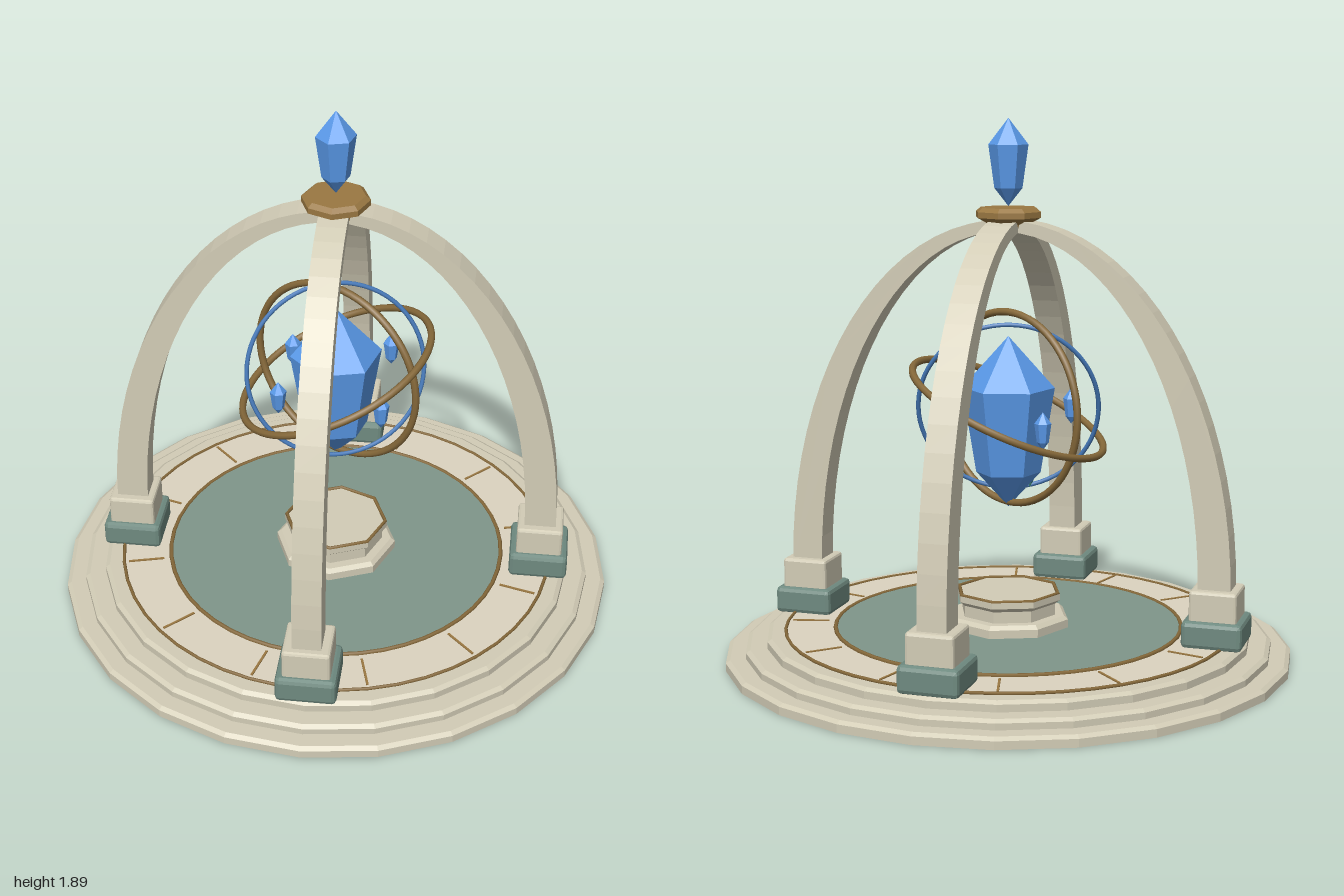
import * as THREE from 'three';
import { RoundedBoxGeometry } from 'three/addons/geometries/RoundedBoxGeometry.js';

const mat = (color, flatShading = true) => new THREE.MeshStandardMaterial({ color, flatShading });
const stone = mat(0xd2ccb6);
const paving = mat(0xdcd3c0);
const green = mat(0x6f8a80);
const floorGreen = mat(0x7f968a);
const bronze = mat(0x9a7842);
const bronzeRing = mat(0x86693a, false);
const blue = mat(0x5a9aea);
const blueRing = mat(0x4478b8, false);
const shardGreen = mat(0x3f8f78);

function add(parent, name, geometry, material, x = 0, y = 0, z = 0) {
  const mesh = new THREE.Mesh(geometry, material);
  mesh.name = name;
  mesh.position.set(x, y, z);
  parent.add(mesh);
  return mesh;
}

const lathe = (points, sides) =>
  new THREE.LatheGeometry(points.map(([r, y]) => new THREE.Vector2(r, y)), sides);

// Six-sided crystal standing on its lower tip, corners on the x axis
const crystal = (height, r, sides = 6) =>
  lathe([[0, 0], [r * 0.7, height * 0.205], [r, height * 0.7], [0, height]], sides).rotateY(Math.PI / 6);

// Ring lying flat on the ground
function flatRing(parent, name, r, tube, y, sides) {
  const ring = add(parent, name, new THREE.TorusGeometry(r, tube, 6, sides), bronzeRing, 0, y, 0);
  ring.rotation.x = -Math.PI / 2;
  ring.rotation.z = Math.PI / 2;
  return ring;
}

// Floating ring whose axis points along the given normal
function orbitRing(parent, name, r, tube, normal, material) {
  const ring = add(parent, name, new THREE.TorusGeometry(r, tube, 8, 64), material, 0, 0.888, 0);
  ring.quaternion.setFromUnitVectors(
    new THREE.Vector3(0, 0, 1), new THREE.Vector3(...normal).normalize());
}

// Quarter-ellipse rib, thinner towards the crown, in the local xy plane
function ribGeometry() {
  const steps = 20, width = 0.1, base = 0.29;
  const shape = new THREE.Shape();
  const point = (i, a, b) => {
    const t = (i / steps) * Math.PI / 2;
    return [a * Math.cos(t), base + b * Math.sin(t)];
  };
  shape.moveTo(...point(0, 0.806, 1.255));
  for (let i = 1; i <= steps; i++) shape.lineTo(...point(i, 0.806, 1.255));
  for (let i = steps; i >= 0; i--) shape.lineTo(...point(i, 0.693, 1.215));
  return new THREE.ExtrudeGeometry(shape, { depth: width, bevelEnabled: false })
    .translate(0, 0, -width / 2);
}

export function createModel() {
  const model = new THREE.Group();
  model.name = 'crystalPavilion';

  // Stepped round base with chamfered edges
  add(model, 'steppedBase', lathe([
    [0, 0], [1, 0], [1, 0.028], [0.985, 0.038],
    [0.93, 0.038], [0.93, 0.06], [0.915, 0.07],
    [0.855, 0.07], [0.855, 0.095], [0.84, 0.105], [0, 0.105],
  ], 24), stone);

  // Paved floor, inner green disc and bronze inlays
  add(model, 'pavedRing', new THREE.CylinderGeometry(0.79, 0.79, 0.01, 48), paving, 0, 0.104, 0);
  add(model, 'innerFloor', new THREE.CylinderGeometry(0.61, 0.61, 0.012, 48), floorGreen, 0, 0.107, 0);
  flatRing(model, 'outerInlayRing', 0.787, 0.006, 0.109, 48);
  flatRing(model, 'innerInlayRing', 0.612, 0.008, 0.111, 48);
  for (let i = 0; i < 12; i++) {
    const a = i * Math.PI / 6;
    const mark = add(model, 'floorMark', new THREE.BoxGeometry(0.13, 0.006, 0.008), bronze,
      Math.cos(a) * 0.705, 0.11, -Math.sin(a) * 0.705);
    mark.rotation.y = a;
  }

  // Octagonal pedestal with bronze bands
  add(model, 'pedestal', lathe([
    [0.22, 0.105], [0.22, 0.142], [0.205, 0.155], [0.172, 0.155],
    [0.172, 0.195], [0.19, 0.21], [0.19, 0.232], [0, 0.232],
  ], 8), stone);
  flatRing(model, 'pedestalLowerBand', 0.183, 0.007, 0.215, 8);
  flatRing(model, 'pedestalUpperBand', 0.183, 0.007, 0.232, 8);

  // Four ribs on plinths, meeting at the crown
  const rib = ribGeometry();
  for (let i = 0; i < 4; i++) {
    const leg = new THREE.Group();
    leg.name = 'archLeg';
    leg.rotation.y = Math.PI / 4 + i * Math.PI / 2;
    add(leg, 'plinth', new RoundedBoxGeometry(0.21, 0.095, 0.21, 1, 0.016), green, 0.75, 0.152, 0);
    add(leg, 'legBlock', new RoundedBoxGeometry(0.165, 0.115, 0.165, 1, 0.01), stone, 0.75, 0.245, 0);
    add(leg, 'archRib', rib, stone);
    model.add(leg);
  }

  // Crown cap and finial
  add(model, 'crownCap', lathe([
    [0, 1.512], [0.07, 1.512], [0.075, 1.53], [0.117, 1.552],
    [0.117, 1.572], [0.1, 1.586], [0, 1.586],
  ], 8), bronze);
  add(model, 'finialCrystal', crystal(0.3, 0.069), blue, 0, 1.59, 0);

  // Central floating crystal with a small shard on its front
  add(model, 'centralCrystal', crystal(0.605, 0.162), blue, 0, 0.535, 0);
  const shard = add(model, 'greenShard', crystal(0.25, 0.03), shardGreen, 0, 0.595, 0.085);
  shard.rotation.x = 0.1;

  // Four small satellite crystals
  for (const s of [-1, 1]) {
    add(model, 'satelliteCrystal', crystal(0.13, 0.029), blue, s * 0.252, 0.78, 0);
    add(model, 'satelliteCrystal', crystal(0.13, 0.029), blue, 0, 0.81, s * 0.252);
  }

  // Orbiting rings
  orbitRing(model, 'uprightRing', 0.336, 0.013, [0.28, 0, 0.96], bronzeRing);
  orbitRing(model, 'tiltedRing', 0.362, 0.013, [-0.29, 0.91, 0.29], bronzeRing);
  orbitRing(model, 'thinBlueRing', 0.315, 0.008, [0.84, 0.28, 0.46], blueRing);

  return model;
}
